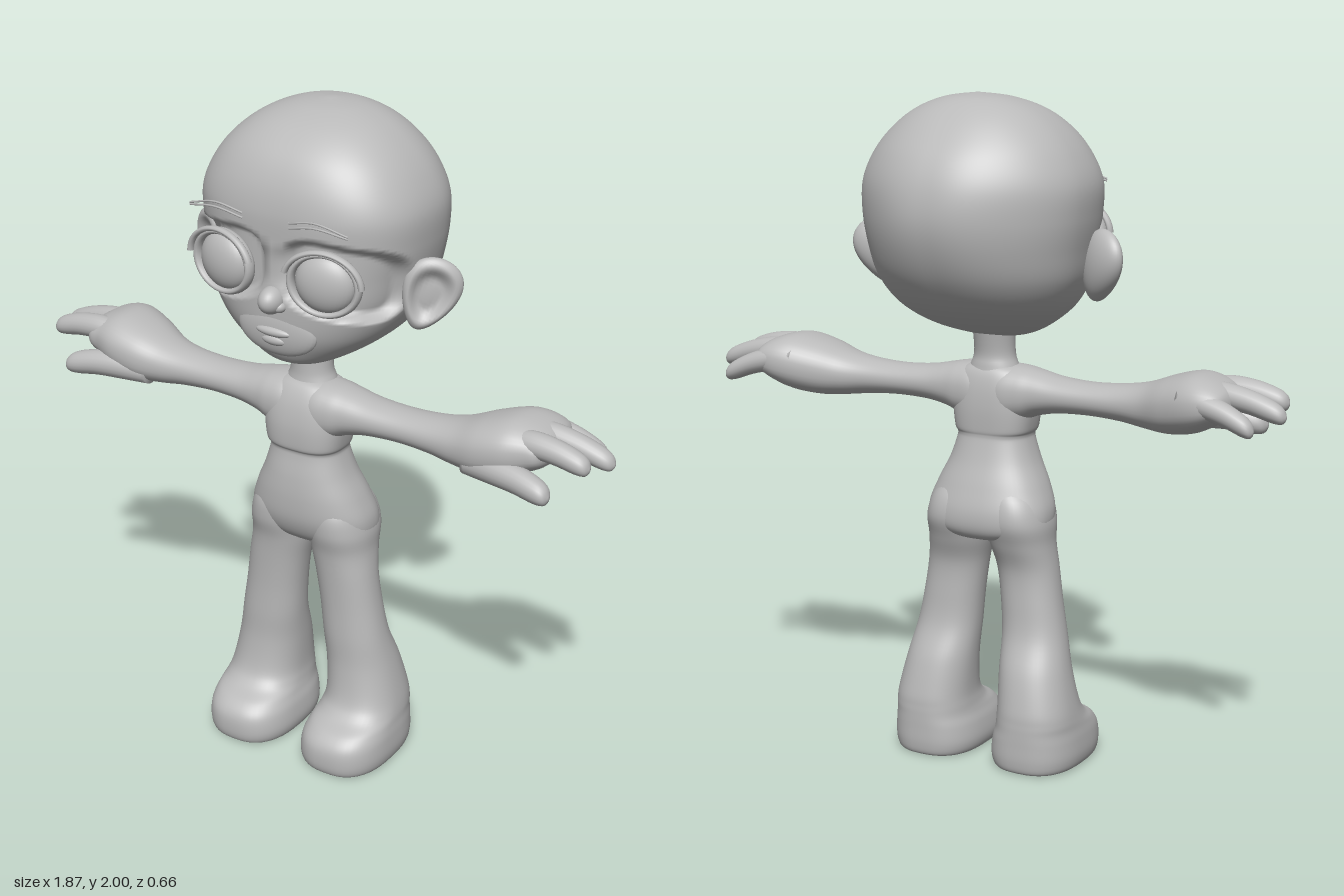
import * as THREE from 'three';

const clay = new THREE.MeshStandardMaterial({ color: 0xbababa });
clay.name = 'clay grey';

// Smooth skin through sections [s, aMin, aMax, bMin, bMax, power].
// Axis 'y': s = y, a = x, b = z.  Axis 'x': s = x, a = z, b = y.
function loft(sections, axis = 'y', steps = 6, sides = 40) {
  const pos = [], index = [];
  const last = sections.length - 1, rings = last * steps;
  const put = (s, a, b) => (axis === 'y' ? pos.push(a, s, b) : pos.push(s, b, a));
  const at = (i) => sections[Math.min(last, Math.max(0, i))];
  const section = (t) => {
    const i = Math.min(last - 1, Math.floor(t)), f = t - i;
    return at(i).map((p1, k) => {
      const p0 = at(i - 1)[k], p2 = at(i + 1)[k], p3 = at(i + 2)[k];
      return p1 + 0.5 * f * (p2 - p0 + f * (2 * p0 - 5 * p1 + 4 * p2 - p3 + f * (3 * (p1 - p2) + p3 - p0)));
    });
  };
  const bend = (v, power) => Math.sign(v) * Math.abs(v) ** (2 / power);
  for (let r = 0; r <= rings; r++) {
    const [s, a0, a1, b0, b1, power] = section(r / steps);
    for (let j = 0; j < sides; j++) {
      const q = (j / sides) * Math.PI * 2;
      put(s, (a0 + a1) / 2 + bend(Math.cos(q), power) * (a1 - a0) / 2,
        (b0 + b1) / 2 + bend(Math.sin(q), power) * (b1 - b0) / 2);
    }
  }
  for (const [s, a0, a1, b0, b1] of [sections[0], sections[last]]) put(s, (a0 + a1) / 2, (b0 + b1) / 2);
  const start = (rings + 1) * sides;
  for (let j = 0; j < sides; j++) {
    const k = (j + 1) % sides;
    for (let r = 0; r < rings; r++) {
      const lo = r * sides, hi = lo + sides;
      index.push(lo + j, hi + j, lo + k, hi + j, hi + k, lo + k);
    }
    index.push(start, j, k, start + 1, rings * sides + k, rings * sides + j);
  }
  const g = new THREE.BufferGeometry();
  g.setAttribute('position', new THREE.Float32BufferAttribute(pos, 3));
  g.setIndex(index);
  g.computeVertexNormals();
  return g;
}

// Sections symmetric in x: [y, halfWidth, zBack, zFront, power]
const symmetric = (rows) => rows.map(([y, w, z0, z1, p]) => [y, -w, w, z0, z1, p]);

// Moves every vertex by a rule
function reshape(g, rule) {
  const p = g.attributes.position, v = new THREE.Vector3();
  for (let i = 0; i < p.count; i++) {
    v.fromBufferAttribute(p, i);
    rule(v);
    p.setXYZ(i, v.x, v.y, v.z);
  }
  g.computeVertexNormals();
  return g;
}

// Mirror image across x = 0 with the winding kept outward
function mirrored(g) {
  const m = g.clone();
  const p = m.attributes.position, n = m.attributes.normal, ix = m.index;
  for (let i = 0; i < p.count; i++) {
    p.setX(i, -p.getX(i));
    n.setX(i, -n.getX(i));
  }
  for (let i = 0; i < ix.count; i += 3) {
    const b = ix.getX(i + 1);
    ix.setX(i + 1, ix.getX(i + 2));
    ix.setX(i + 2, b);
  }
  return m;
}

const ball = (rx, ry, rz, x, y, z) =>
  new THREE.SphereGeometry(1, 32, 20).scale(rx, ry, rz).translate(x, y, z);

// Rounded finger along x from start [x, y, z] to tip [x, y, z]
function finger(from, to, r) {
  const rows = [[0, 0.85], [0.3, 1], [0.6, 0.95], [0.85, 0.85], [0.96, 0.6], [1, 0.12]];
  return loft(rows.map(([t, k]) => {
    const [x, y, z] = from.map((v, i) => v + (to[i] - v) * t);
    const h = y + 0.015 * Math.sin(Math.PI * t), q = r * k;
    return [x, z - q, z + q, h - q, h + q, 2];
  }), 'x', 5, 20);
}

function headGeometry() {
  const g = loft(symmetric([
    [1.283, 0.02, 0.12, 0.18, 2.1], [1.298, 0.1, 0.03, 0.222, 2.2], [1.34, 0.185, -0.1, 0.25, 2.3],
    [1.4, 0.26, -0.2, 0.272, 2.4], [1.48, 0.308, -0.27, 0.28, 2.6], [1.57, 0.33, -0.315, 0.28, 2.7],
    [1.66, 0.345, -0.335, 0.28, 2.7], [1.75, 0.345, -0.326, 0.28, 2.7], [1.83, 0.312, -0.292, 0.262, 2.6],
    [1.9, 0.257, -0.235, 0.222, 2.5], [1.955, 0.185, -0.17, 0.155, 2.4],
    [1.988, 0.1, -0.105, 0.07, 2.2], [2, 0.012, -0.035, -0.01, 2],
  ]), 'y', 10, 144);
  return reshape(g, (v) => {
    // Rounder back of the skull
    if (v.z < 0) {
      v.x *= 1 - 3.4 * v.z * v.z;
      return;
    }
    // Goggle-shaped eye sockets that run round to the temples
    const w = Math.abs(v.x) + Math.max(0, 0.2 - v.z) * 0.8;
    const dx = (w - 0.2) / (w < 0.2 ? 0.175 : 0.22);
    const dy = (v.y - 1.575 - 0.02 * Math.cos(w * 8)) / 0.108;
    const d = Math.abs(dx) ** 3 + Math.abs(dy) ** 3;
    const depth = 0.042 * (1 - THREE.MathUtils.smoothstep(d, 0.5, 1.1));
    const k = 1 - depth / Math.hypot(v.x, v.z);
    v.x *= k;
    v.z *= k;
  });
}

function earGeometry() {
  const g = reshape(new THREE.SphereGeometry(1, 40, 32), (v) => {
    const r = Math.hypot(v.x, v.y);
    // Hollow bowl in front, thick back, narrower lobe below
    if (v.z > 0) v.z -= 0.95 * (1 - THREE.MathUtils.smoothstep(r, 0.4, 0.85));
    v.z *= v.z < 0 ? 0.048 : 0.034;
    v.x *= 0.078 * (1 + 0.32 * v.y);
    v.y *= 0.108;
  });
  return g.rotateZ(-0.36).rotateY(0.55).translate(0.362, 1.52, 0.05);
}

export function createModel() {
  const model = new THREE.Group();
  const add = (name, g) => {
    const mesh = new THREE.Mesh(g, clay);
    mesh.name = name;
    model.add(mesh);
  };
  const pair = (name, g) => {
    add(name + 'Left', g);
    add(name + 'Right', mirrored(g));
  };

  // Head and face
  add('head', headGeometry());
  pair('ear', earGeometry());
  add('noseTip', ball(0.036, 0.04, 0.05, 0, 1.503, 0.278));
  pair('nostril', ball(0.022, 0.018, 0.024, 0.022, 1.488, 0.278));
  add('muzzle', ball(0.13, 0.08, 0.03, 0, 1.41, 0.252));
  add('upperLip', ball(0.058, 0.015, 0.018, 0, 1.408, 0.274));
  add('lowerLip', ball(0.044, 0.017, 0.018, 0, 1.382, 0.269));

  // Eyes: flattened balls framed by lids
  const seat = (g) => g.rotateY(0.17).translate(0.163, 1.58, 0.262);
  pair('eye', seat(ball(0.088, 0.084, 0.045, 0, 0, 0)));
  pair('eyelid', seat(new THREE.TorusGeometry(0.092, 0.01, 12, 48).scale(1.08, 0.93, 1.8).translate(0, 0, 0.01)));
  pair('upperLid', seat(new THREE.TorusGeometry(0.102, 0.008, 10, 40, Math.PI * 0.9)
    .rotateZ(0.05).scale(1.12, 0.9, 1.5).translate(0, 0.003, 0.026)));

  // Thin eyebrow strands
  [0, 0.014].forEach((lift, i) => {
    const path = new THREE.CatmullRomCurve3([
      new THREE.Vector3(0.075, 1.733 + lift, 0.306), new THREE.Vector3(0.16, 1.75 + lift, 0.312),
      new THREE.Vector3(0.255, 1.735 + lift * 0.4, 0.298),
    ]);
    pair('eyebrow' + (i + 1), new THREE.TubeGeometry(path, 20, 0.003, 6));
  });

  // Neck and body
  add('neck', loft(symmetric([
    [1.16, 0.1, 0.01, 0.155, 2], [1.205, 0.074, 0.018, 0.142, 2],
    [1.25, 0.062, 0.022, 0.138, 2], [1.36, 0.065, 0.0, 0.14, 2],
  ])));
  add('body', loft(symmetric([
    [0.69, 0.04, 0.02, 0.11, 2.2], [0.695, 0.12, -0.035, 0.14, 2.3], [0.725, 0.186, -0.062, 0.172, 2.4],
    [0.78, 0.195, -0.065, 0.194, 2.4], [0.85, 0.171, -0.045, 0.2, 2.4], [0.92, 0.138, -0.02, 0.196, 2.4],
    [0.98, 0.117, -0.003, 0.186, 2.5], [1.0, 0.114, 0, 0.185, 2.6], [1.018, 0.121, -0.003, 0.193, 2.8],
    [1.08, 0.129, -0.005, 0.194, 2.7], [1.14, 0.128, 0, 0.183, 2.6], [1.185, 0.11, 0.012, 0.163, 2.4],
    [1.206, 0.07, 0.03, 0.14, 2.2], [1.21, 0.02, 0.06, 0.1, 2],
  ]), 'y', 6, 56));

  // Flared legs ending in rounded shoes
  pair('leg', loft([
    [0, 0.06, 0.27, -0.06, 0.255, 2.6], [0.006, 0.038, 0.295, -0.082, 0.28, 2.6],
    [0.04, 0.028, 0.305, -0.09, 0.289, 2.6], [0.09, 0.034, 0.303, -0.091, 0.284, 2.6],
    [0.125, 0.045, 0.298, -0.091, 0.255, 2.5], [0.155, 0.052, 0.294, -0.09, 0.2, 2.4],
    [0.2, 0.056, 0.286, -0.085, 0.17, 2.3], [0.3, 0.052, 0.265, -0.06, 0.155, 2.2],
    [0.4, 0.046, 0.244, -0.02, 0.155, 2.2], [0.5, 0.038, 0.226, -0.008, 0.155, 2.2],
    [0.6, 0.025, 0.211, -0.008, 0.16, 2.2], [0.68, 0.008, 0.2, -0.035, 0.168, 2.2],
    [0.75, 0.004, 0.197, -0.058, 0.184, 2.2], [0.82, 0.01, 0.172, -0.045, 0.18, 2.2],
    [0.88, 0.03, 0.11, 0, 0.14, 2],
  ], 'y', 6, 48));

  // Outstretched arms, blended across the chest and widening into the hands
  pair('arm', loft([
    [-0.02, 0.03, 0.14, 1.08, 1.19, 2], [0.04, 0.002, 0.177, 1.04, 1.207, 2.3],
    [0.1, 0.004, 0.178, 1.045, 1.205, 2.3], [0.15, 0.012, 0.168, 1.063, 1.196, 2.2],
    [0.22, 0.018, 0.158, 1.076, 1.183, 2.1], [0.32, 0.02, 0.152, 1.08, 1.177, 2.1],
    [0.42, 0.014, 0.158, 1.074, 1.183, 2.1], [0.5, -0.005, 0.172, 1.064, 1.197, 2.2],
    [0.58, -0.042, 0.19, 1.06, 1.226, 2.3], [0.66, -0.07, 0.19, 1.072, 1.246, 2.3],
    [0.72, -0.074, 0.17, 1.098, 1.236, 2.4], [0.765, -0.055, 0.15, 1.125, 1.214, 2.3],
    [0.785, 0.02, 0.08, 1.155, 1.19, 2],
  ], 'x', 6, 40));
  pair('foreFinger', finger([0.66, 1.19, 0.118], [0.905, 1.165, 0.125], 0.037));
  pair('middleFinger', finger([0.66, 1.195, 0.04], [0.933, 1.145, 0.028], 0.036));
  pair('littleFinger', finger([0.64, 1.18, -0.03], [0.872, 1.115, -0.058], 0.036));
  pair('thumb', finger([0.54, 1.1, 0.14], [0.82, 1.083, 0.188], 0.042));

  return model;
}
